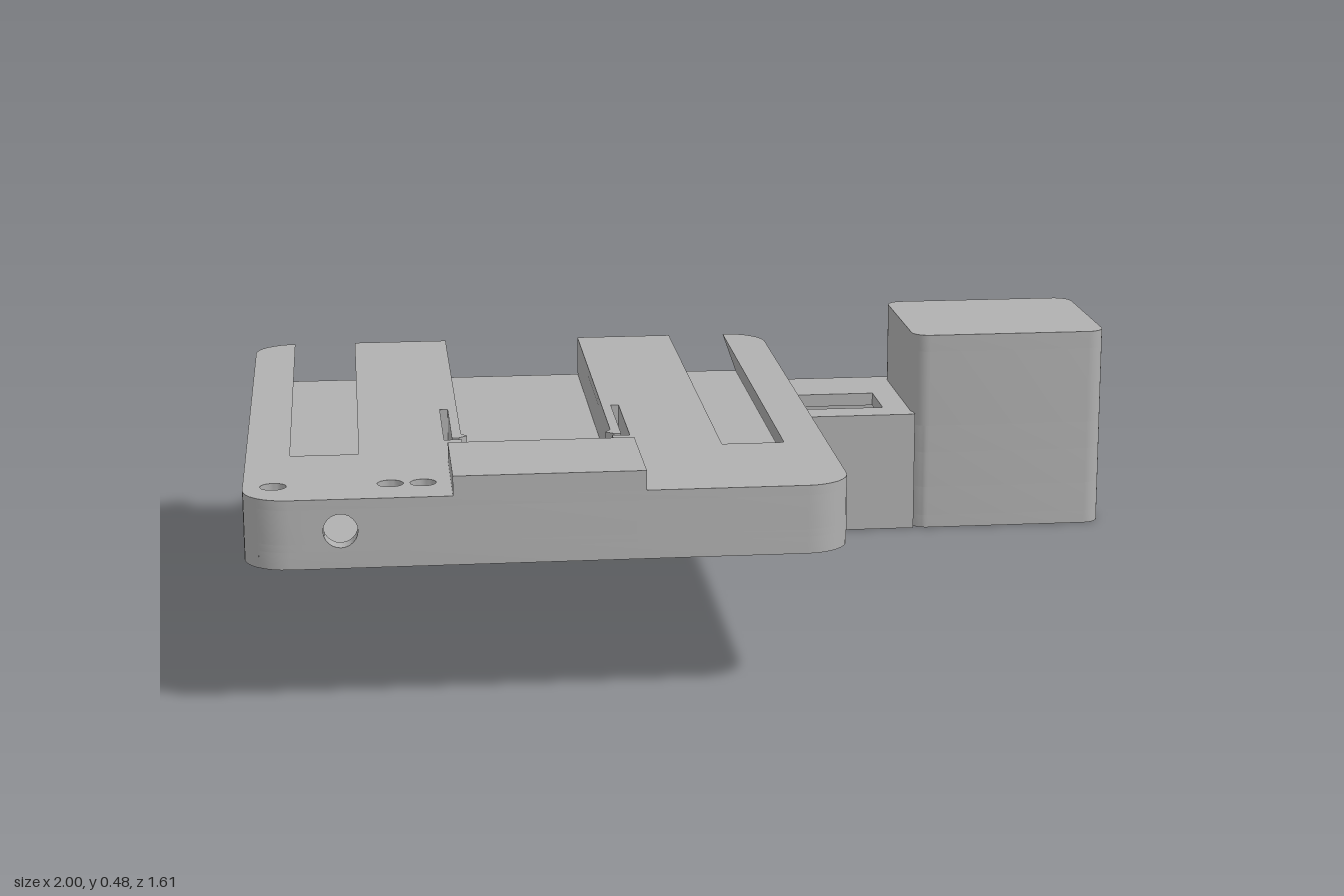
import * as THREE from 'three';
import { toCreasedNormals } from 'three/addons/utils/BufferGeometryUtils.js';

const grey = new THREE.MeshStandardMaterial({ color: 0xb0b0b0 });
grey.name = 'grey plastic';

// Points on an arc in the x/z plane, angles in degrees
function arc(cx, cz, r, a0, a1, n = 8) {
  return Array.from({ length: n + 1 }, (_, i) => {
    const a = THREE.MathUtils.degToRad(a0 + (a1 - a0) * i / n);
    return [cx + r * Math.cos(a), cz + r * Math.sin(a)];
  });
}
const circle = (x, z, r) => arc(x, z, r, 0, 345, 23);
const rect = (x0, x1, z0, z1) => [[x0, z0], [x1, z0], [x1, z1], [x0, z1]];
const toPoints = (pts) => pts.map(([x, z]) => new THREE.Vector2(x, -z));

// Horizontal slab from an x/z outline; warp(x, y, z) may move x
function slab(name, pts, holes, y0, y1, warp) {
  const shape = new THREE.Shape(toPoints(pts));
  shape.holes = holes.map((h) => new THREE.Path(toPoints(h)));
  const geo = new THREE.ExtrudeGeometry(shape, { depth: y1 - y0, bevelEnabled: false });
  geo.rotateX(-Math.PI / 2).translate(0, y0, 0);
  if (warp) {
    const p = geo.attributes.position;
    for (let i = 0; i < p.count; i++) p.setX(i, warp(p.getX(i), p.getY(i), p.getZ(i)));
    geo.computeVertexNormals();
  }
  const mesh = new THREE.Mesh(toCreasedNormals(geo, 0.6), grey);
  mesh.name = name;
  return mesh;
}

// Centre channel edge with its spring latch slot, back to front
const latch = [[-0.555, -0.62], [-0.555, 0.30], [-0.543, 0.32], [-0.56, 0.335], [-0.575, 0.335],
  [-0.575, 0.08], [-0.592, 0.08], [-0.592, 0.35], [-0.555, 0.35], [-0.555, 0.53]];
const latchMirror = latch.map(([x, z]) => [-0.795 - x, z]);

// Pocket under the front corner, open to the front for the round hole
const pocketNotch = [[-0.87, 0.8], [-0.87, 0.76], [-0.95, 0.76], [-0.95, 0.48],
  [-0.61, 0.48], [-0.61, 0.76], [-0.75, 0.76], [-0.75, 0.8]];

function plateOutline(channels, notch) {
  return [
    ...arc(-0.91, 0.71, 0.09, 180, 90),
    ...(notch ? pocketNotch : []),
    ...arc(0.11, 0.71, 0.09, 90, 0),
    ...arc(0.11, -0.53, 0.09, 0, -90),
    ...(channels ? [
      [0.11, 0.45], [-0.02, 0.45], [-0.02, -0.62],
      ...latchMirror, ...[...latch].reverse(),
      [-0.77, -0.62], [-0.77, 0.45], [-0.91, 0.45],
    ] : []),
    ...arc(-0.91, -0.53, 0.09, -90, -180),
  ];
}

// Undercut the two side channels so they widen downwards
function dovetail(x, y, z) {
  const s = 0.35 * (0.44 - y), near = (v) => Math.abs(x - v) < 1e-4;
  if (z > 0.46) return x;
  if (near(-0.02)) return x - s;
  if (near(-0.77)) return x + s;
  if (x < -0.909) return Math.min(x, -0.91 - s);
  if (x > 0.109) return Math.max(x, 0.11 + s);
  return x;
}

function buildPlate() {
  const g = new THREE.Group();
  g.name = 'mountingPlate';
  const screws = [[-0.84, 0.41], [0.045, 0.41], [-0.4, 0.495]].map(([x, z]) => circle(x, z, 0.026));
  const lights = [-0.94, -0.71, -0.645].map((x) => circle(x, 0.69, 0.026));
  const recesses = [];
  for (const x of [-0.64, -0.16]) for (const z of [-0.15, 0.43]) recesses.push(circle(x, z, 0.055));

  g.add(slab('plateUnderside', plateOutline(false, false),
    [...screws, ...recesses, rect(-0.97, -0.59, 0.475, 0.78)], 0.30, 0.335));
  g.add(slab('plateFloor', plateOutline(false, true), screws, 0.335, 0.35));
  g.add(slab('plateRails', plateOutline(true, true), [], 0.35, 0.42, dovetail));
  g.add(slab('plateTop', plateOutline(true, false), lights, 0.42, 0.44, dovetail));
  g.add(slab('frontBlock', rect(-0.59, -0.21, 0.53, 0.8), [], 0.44, 0.48));

  // Front wall piece with the round hole
  const wall = new THREE.Shape([[-0.87, 0.335], [-0.75, 0.335], [-0.75, 0.42], [-0.87, 0.42]]
    .map(([x, y]) => new THREE.Vector2(x, y)));
  wall.holes.push(new THREE.Path().absarc(-0.81, 0.376, 0.034, 0, Math.PI * 2, true));
  const geo = new THREE.ExtrudeGeometry(wall, { depth: 0.04, bevelEnabled: false });
  const mesh = new THREE.Mesh(toCreasedNormals(geo.translate(0, 0, 0.76), 0.6), grey);
  mesh.name = 'frontCableHole';
  g.add(mesh);
  return g;
}

// Slanted left end of the arm
const taper = (x, y) => Math.max(x, 0.145 - 0.095 * y / 0.185);
const armLeft = [[0.145, -0.81], [0.05, -0.53], [0.05, -0.41]];

// Outline of arm and tower together; the slot opens the right wall into the cavity
function housingOutline(slot) {
  return [
    ...armLeft, [0.545, -0.41], [0.545, -0.43],
    ...arc(0.58, -0.45, 0.04, 120, 90, 3),
    ...arc(0.96, -0.45, 0.04, 90, 0),
    ...(slot ? [[1, -0.6], [0.95, -0.6], [0.95, -0.45], [0.19, -0.45],
      [0.19, -0.77], [0.95, -0.77], [0.95, -0.67], [1, -0.67]] : []),
    ...arc(0.96, -0.77, 0.04, 0, -90),
    ...arc(0.58, -0.77, 0.04, -90, -120, 3),
    [0.545, -0.79], [0.545, -0.81],
  ];
}

function buildHousing() {
  const g = new THREE.Group();
  g.name = 'sideHousing';
  const closed = housingOutline(false), slotted = housingOutline(true);
  const cavity = rect(0.19, 0.95, -0.77, -0.45);
  g.add(slab('housingRim', closed, [rect(0.168, 0.98, -0.79, -0.43)], 0, 0.03, taper));
  g.add(slab('housingWallLower', closed, [cavity], 0.03, 0.10, taper));
  g.add(slab('housingWallSlot', slotted, [], 0.10, 0.185, taper));
  g.add(slab('housingWallUpper', slotted, [], 0.185, 0.25));

  // Arm roof with its window, and the pad joining it to the plate
  g.add(slab('armRoof', [...armLeft, [0.545, -0.41], [0.545, -0.81]],
    [rect(0.25, 0.48, -0.635, -0.487)], 0.25, 0.28));
  g.add(slab('armPad', [[0.08, -0.62], [0.05, -0.53], [0.05, -0.41], [0.2, -0.41], [0.2, -0.62]],
    [], 0.28, 0.30));

  // Tower above the arm
  const tower = [
    ...arc(0.58, -0.45, 0.04, 180, 90), ...arc(0.96, -0.45, 0.04, 90, 0),
    ...arc(0.96, -0.77, 0.04, 0, -90), ...arc(0.58, -0.77, 0.04, -90, -180),
  ];
  g.add(slab('towerWall', tower, [rect(0.58, 0.95, -0.77, -0.45)], 0.25, 0.43));
  g.add(slab('towerRoof', tower, [], 0.43, 0.47));
  return g;
}

export function createModel() {
  const model = new THREE.Group();
  model.name = 'mountingBracket';
  model.add(buildPlate(), buildHousing());
  return model;
}
